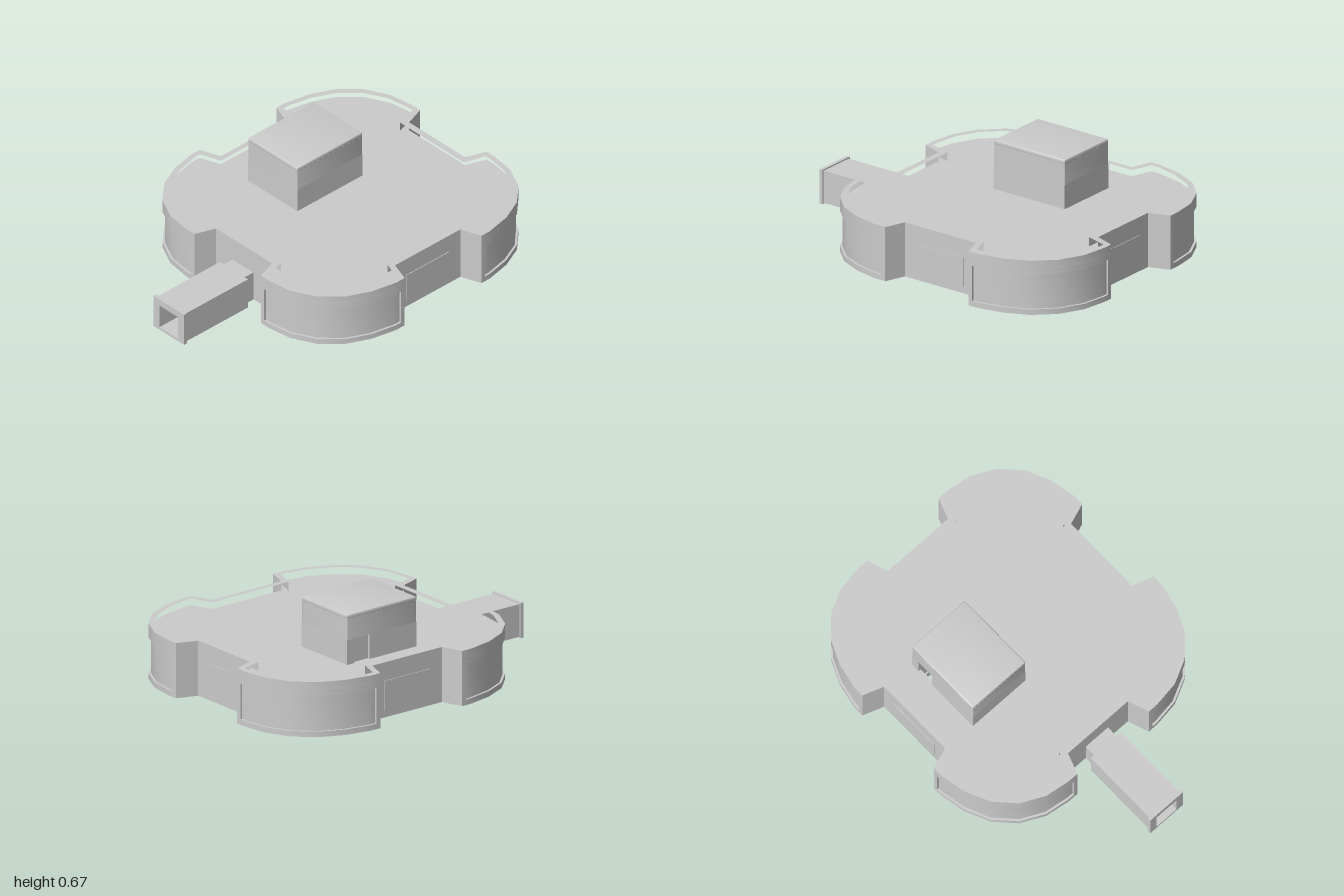
import * as THREE from 'three';
import { toCreasedNormals } from 'three/addons/utils/BufferGeometryUtils.js';

const mat = new THREE.MeshStandardMaterial({ color: 0xcccccc });
const thinMat = new THREE.MeshStandardMaterial({ color: 0xcccccc, side: THREE.DoubleSide });
const CZ = -0.205; // centre of the hall in z

// One quadrant of the outline: notch corner, rounded lobe, notch corner
const OUTER = [[0.21, 0.68], [0.25, 0.795], [0.31, 0.795], [0.45, 0.775], [0.58, 0.71],
  [0.68, 0.605], [0.74, 0.475], [0.77, 0.33], [0.77, 0.27], [0.655, 0.23]];
const INNER = [[0.24, 0.645], [0.275, 0.765], [0.33, 0.763], [0.44, 0.745], [0.56, 0.685],
  [0.65, 0.59], [0.71, 0.465], [0.74, 0.33], [0.74, 0.295], [0.625, 0.255]];
// The same lobe with a shallow panel sunk into its curved face
const RECESSED = [[0.21, 0.68], [0.25, 0.795], [0.275, 0.795], [0.275, 0.783], [0.31, 0.783],
  [0.445, 0.763], [0.572, 0.7], [0.671, 0.598], [0.728, 0.472], [0.758, 0.33], [0.758, 0.295],
  [0.77, 0.295], [0.77, 0.27], [0.655, 0.23]];

// Mirrors a quadrant into the closed outline
function outline(quad) {
  const back = [...quad].reverse();
  return [
    ...quad.map(([x, z]) => [x, z]),
    ...back.map(([x, z]) => [x, -z]),
    ...quad.map(([x, z]) => [-x, -z]),
    ...back.map(([x, z]) => [-x, z]),
  ].map(([x, z]) => new THREE.Vector2(x, z + CZ));
}

function rectPoints(x0, x1, z0, z1, c = 0) {
  if (!c) return [[x0, z0], [x1, z0], [x1, z1], [x0, z1]].map((p) => new THREE.Vector2(...p));
  const pts = [];
  [[x1 - c, z1 - c], [x0 + c, z1 - c], [x0 + c, z0 + c], [x1 - c, z0 + c]].forEach(([x, z], k) => {
    for (let i = 0; i <= 3; i++) {
      const a = (k + i / 3) * Math.PI / 2;
      pts.push(new THREE.Vector2(x + c * Math.cos(a), z + c * Math.sin(a)));
    }
  });
  return pts;
}

// Upright prism from a plan outline between two heights
function prism(name, pts, y0, y1, holes = [], bevel = 0) {
  const shape = new THREE.Shape(pts);
  holes.forEach((h) => shape.holes.push(new THREE.Path(h)));
  const geo = new THREE.ExtrudeGeometry(shape, {
    depth: y1 - y0 - 2 * bevel, bevelEnabled: bevel > 0, bevelSize: bevel,
    bevelThickness: bevel, bevelOffset: -bevel, bevelSegments: 3,
  });
  geo.rotateX(Math.PI / 2).translate(0, y1 - bevel, 0);
  const mesh = new THREE.Mesh(toCreasedNormals(geo, 0.55), mat);
  mesh.name = name;
  return mesh;
}

function box(name, x0, x1, y0, y1, z0, z1) {
  const mesh = new THREE.Mesh(new THREE.BoxGeometry(x1 - x0, y1 - y0, z1 - z0), mat);
  mesh.position.set((x0 + x1) / 2, (y0 + y1) / 2, (z0 + z1) / 2);
  mesh.name = name;
  return mesh;
}

// Rectangular tube running along z
function tunnel(name, [x0, x1, y0, y1], [a0, a1, b0, b1], z0, z1) {
  const shape = new THREE.Shape(rectPoints(x0, x1, y0, y1));
  shape.holes.push(new THREE.Path(rectPoints(a0, a1, b0, b1)));
  const geo = new THREE.ExtrudeGeometry(shape, { depth: z1 - z0, bevelEnabled: false });
  const mesh = new THREE.Mesh(geo.translate(0, 0, z0), mat);
  mesh.name = name;
  return mesh;
}

function group(name, ...parts) {
  const g = new THREE.Group();
  g.name = name;
  g.add(...parts);
  return g;
}

export function createModel() {
  const shaft = rectPoints(-0.44, -0.1, -0.425, 0.005);
  const hatch = rectPoints(-0.06, 0.14, -0.33, -0.09);

  // Four-lobed hall in layers, with the stair shaft cut through
  const hall = group('hall',
    prism('base', outline(OUTER), 0.15, 0.18, [shaft, hatch]),
    prism('panelledWall', outline(RECESSED), 0.18, 0.375, [shaft]),
    prism('deck', outline(OUTER), 0.375, 0.4, [shaft]),
    prism('parapet', outline(OUTER), 0.4, 0.45, [outline(INNER)]),
  );
  // Flat panels on the straight walls
  for (const s of [-1, 1]) {
    const x = s * 0.655;
    hall.add(box('sidePanel', x - 0.004, x + 0.004, 0.19, 0.35, CZ - 0.15, CZ + 0.15));
  }
  hall.add(box('backPanel', -0.14, 0.14, 0.19, 0.35, -0.889, -0.88));

  // Hollow stair house on the deck with a doorway in its right wall
  const [x0, x1, z0, z1] = [-0.455, -0.085, -0.44, 0.02];
  const room = rectPoints(-0.44, -0.1, -0.425, 0.005);
  const doorWall = [[x0, -0.29], [-0.44, -0.29], [-0.44, 0.005], [-0.1, 0.005], [-0.1, -0.425],
    [-0.44, -0.425], [-0.44, -0.39], [x0, -0.39], [x0, z0], [x1, z0], [x1, z1], [x0, z1]]
    .map((p) => new THREE.Vector2(...p));
  const house = group('stairHouse',
    prism('lowerWalls', doorWall, 0.4, 0.535),
    prism('upperWalls', rectPoints(x0, x1, z0, z1, 0.006), 0.535, 0.65, [room]),
    prism('roof', rectPoints(x0, x1, z0, z1, 0.006), 0.645, 0.672, [], 0.007),
  );

  // Flight of steps inside the shaft
  const stairs = group('stairs');
  for (let i = 0; i < 10; i++) {
    const x = -0.13 - i * 0.031, y = 0.175 + i * 0.025;
    stairs.add(box('step', x - 0.031, x + 0.004, y - 0.025, y, -0.2, 0.005));
  }

  // Triangular side plates and sloping underside of the lower flight
  const lower = group('lowerFlight');
  const tri = new THREE.Shape([[-0.44, 0.15], [-0.23, 0], [-0.23, 0.15]]
    .map((p) => new THREE.Vector2(...p)));
  for (const z of [-0.222, -0.42]) {
    const plate = new THREE.Mesh(
      new THREE.ExtrudeGeometry(tri, { depth: 0.006, bevelEnabled: false }), thinMat);
    plate.position.z = z - 0.003;
    plate.name = 'sidePlate';
    lower.add(plate);
  }
  const slope = new THREE.Mesh(new THREE.PlaneGeometry(Math.hypot(0.21, 0.15), 0.198), mat);
  slope.geometry.rotateX(Math.PI / 2).rotateZ(-Math.atan2(0.15, 0.21));
  slope.position.set(-0.335, 0.075, -0.321);
  slope.name = 'slope';
  lower.add(slope);

  // Shallow plates on the underside around the hatch
  const under = group('undersidePanel',
    prism('hatchFrame', rectPoints(-0.08, 0.16, -0.35, -0.07), 0.144, 0.151, [hatch]),
    prism('outerFrame', rectPoints(-0.08, 0.33, -0.5, 0.02), 0.147, 0.151,
      [rectPoints(-0.072, 0.322, -0.492, 0.012)]),
  );

  // Entrance passage with an end collar and a door at its inner end
  const bore = [-0.075, 0.065, 0.155, 0.292];
  const passage = group('passage',
    tunnel('neck', [-0.085, 0.07, 0.147, 0.318], bore, 0.45, 0.545),
    tunnel('corridor', [-0.11, 0.1, 0.145, 0.323], bore, 0.54, 0.985),
    tunnel('collar', [-0.12, 0.11, 0.14, 0.33], bore, 0.98, 1),
    box('doorLeaf', -0.034, 0.065, 0.155, 0.292, 0.465, 0.475),
    box('doorSide', -0.075, -0.036, 0.155, 0.292, 0.46, 0.468),
    box('doorHandle', -0.054, -0.046, 0.212, 0.226, 0.468, 0.476),
  );

  return group('building', hall, house, stairs, lower, under, passage);
}
